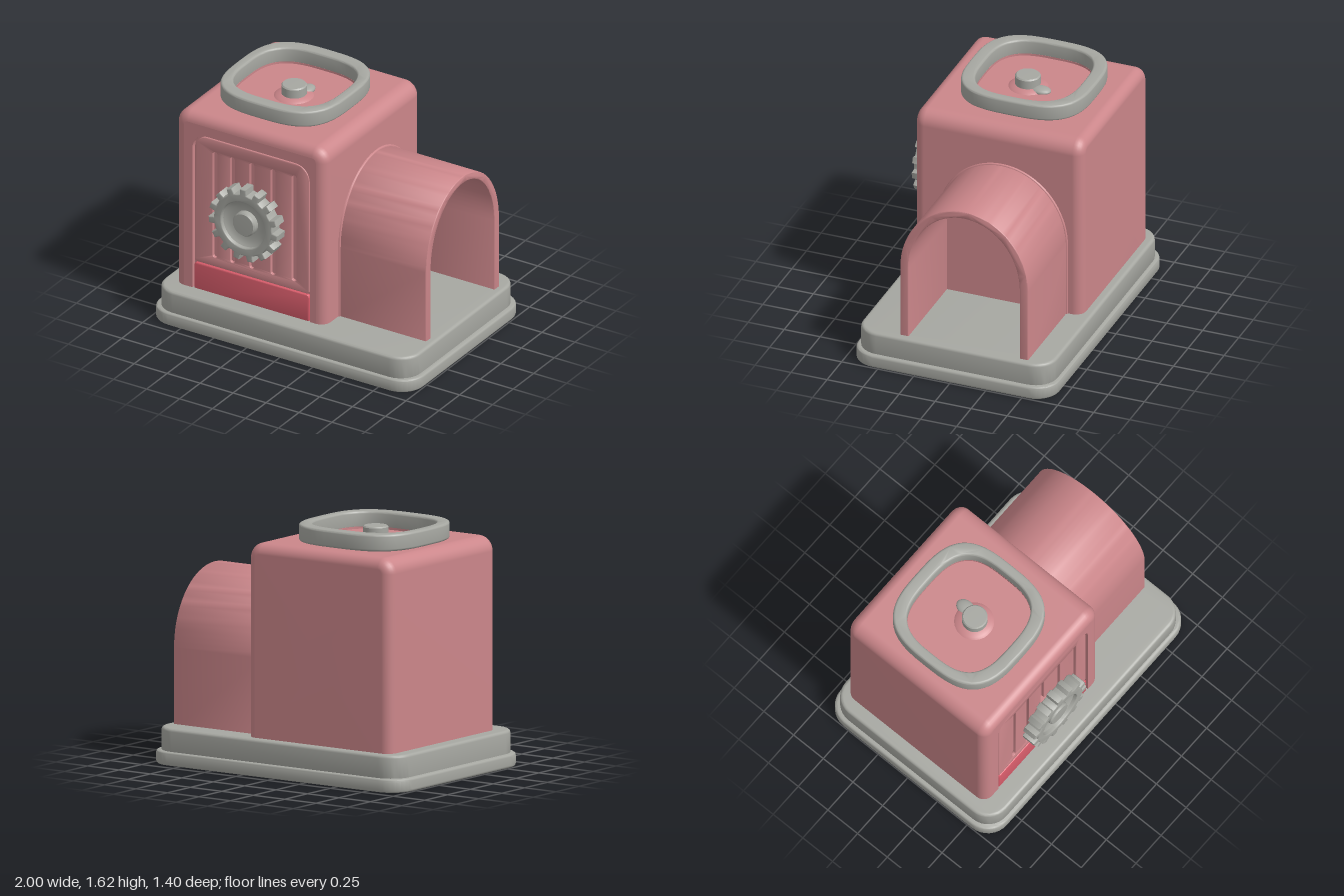
import * as THREE from 'three';
import { toCreasedNormals } from 'three/addons/utils/BufferGeometryUtils.js';

const V = (x, y) => new THREE.Vector2(x, y);

// Counter-clockwise rounded rectangle; top and bottom corners may differ
function rounded(x0, x1, y0, y1, rTop, rBottom = rTop, n = 8) {
  const pts = [];
  [[x1, y1, -1, -1, rTop], [x0, y1, 1, -1, rTop], [x0, y0, 1, 1, rBottom], [x1, y0, -1, 1, rBottom]]
    .forEach(([x, y, sx, sy, r], q) => {
      for (let i = 0; i <= n; i++) {
        const a = (q + i / n) * Math.PI / 2;
        pts.push(V(x + sx * r + r * Math.cos(a), y + sy * r + r * Math.sin(a)));
      }
    });
  return pts;
}

// Soft square outline
function squircle(cx, cy, rx, ry, power = 3.1, n = 72) {
  return Array.from({ length: n }, (_, i) => {
    const a = i / n * Math.PI * 2, c = Math.cos(a), s = Math.sin(a);
    return V(cx + rx * Math.sign(c) * Math.abs(c) ** (2 / power), cy + ry * Math.sign(s) * Math.abs(s) ** (2 / power));
  });
}

// Slab with eased edges, spanning z = 0..depth
function slab(outline, depth, bevel, holes = []) {
  const shape = new THREE.Shape(outline);
  shape.holes = holes.map(h => new THREE.Path(h));
  const g = new THREE.ExtrudeGeometry(shape, {
    depth: depth - 2 * bevel, bevelEnabled: bevel > 0, bevelThickness: bevel,
    bevelSize: bevel, bevelOffset: -bevel, bevelSegments: 4, curveSegments: 24,
  });
  g.translate(0, 0, bevel);
  return toCreasedNormals(g, 0.6);
}

// Skin through equal-length loops: [points, z]
function loft(rings) {
  const n = rings[0][0].length, pos = [], idx = [];
  rings.forEach(([pts, z]) => pts.forEach(p => pos.push(p.x, p.y, z)));
  for (let k = 0; k < rings.length - 1; k++) {
    for (let i = 0; i < n; i++) {
      const a = k * n + i, b = k * n + (i + 1) % n;
      idx.push(a, b, b + n, a, b + n, a + n);
    }
  }
  const g = new THREE.BufferGeometry();
  g.setAttribute('position', new THREE.Float32BufferAttribute(pos, 3));
  g.setIndex(idx);
  g.computeVertexNormals();
  return g;
}

export function createModel() {
  const model = new THREE.Group();
  const mat = (name, color) => {
    const m = new THREE.MeshStandardMaterial({ color });
    m.name = name;
    return m;
  };
  const pink = mat('dusty pink', 0xcb868a);
  const grey = mat('warm grey', 0xa6a7a1);
  const red = mat('rose red', 0xd65c6a);
  const add = (name, geometry, material, parent = model) => {
    const m = new THREE.Mesh(geometry, material);
    m.name = name;
    parent.add(m);
    return m;
  };

  // Two-step base
  const flat = (g, y) => g.rotateX(-Math.PI / 2).translate(0, y, 0);
  add('baseFoot', flat(slab(rounded(-1, 1, -0.7, 0.7, 0.16), 0.09, 0.018), 0), grey);
  add('basePlinth', flat(slab(rounded(-0.97, 0.97, -0.675, 0.675, 0.15), 0.17, 0.02), 0.07), grey);

  // Body shell with rounded edges and a recessed front
  const front = 0.55, back = -0.62, bevel = 0.07, steps = 7;
  const section = d => rounded(-0.88 + d, 0.26 - d, 0.1 + d, 1.51 - d, 0.1 - d);
  const rings = [[section(0).map(() => V(-0.31, 0.8)), back]];
  for (let i = 0; i <= steps; i++) {
    const a = i / steps * Math.PI / 2;
    rings.push([section(bevel * (1 - Math.sin(a))), back + bevel * (1 - Math.cos(a))]);
  }
  for (let i = steps; i >= 0; i--) {
    const a = i / steps * Math.PI / 2;
    rings.push([section(bevel * (1 - Math.sin(a))), front - bevel * (1 - Math.cos(a))]);
  }
  add('bodyShell', loft(rings), pink);
  const recess = rounded(-0.745, 0.145, 0.2, 1.37, 0.11, 0.01);
  const frame = new THREE.Shape(section(bevel));
  frame.holes.push(new THREE.Path(recess));
  add('frontFrame', new THREE.ShapeGeometry(frame).translate(0, 0, front), pink);
  add('recessWall', loft([[[...recess].reverse(), 0.518], [[...recess].reverse(), front]]), pink);
  add('recessFloor', new THREE.ShapeGeometry(new THREE.Shape(recess)).translate(0, 0, 0.518), pink);

  // Slotted panel and coloured strip
  const slots = [-0.58, -0.447, -0.3, -0.14, 0.02].map(x => rounded(x - 0.017, x + 0.017, 0.5, 1.27, 0.016));
  add('slottedPanel', slab(rounded(-0.733, 0.133, 0.435, 1.358, 0.1, 0.02), 0.024, 0.004, slots), pink)
    .position.z = 0.518;
  add('lowerStrip', slab(rounded(-0.735, 0.135, 0.2, 0.427, 0.02), 0.028, 0.006), red).position.z = 0.518;

  // Arched tunnel on the model's left
  const arch = (half, top, spring, bottom) => {
    const pts = [V(-half, bottom), V(half, bottom)];
    for (let i = 0; i <= 40; i++) {
      const a = i / 40 * Math.PI;
      pts.push(V(half * Math.cos(a), spring + (top - spring) * Math.sin(a)));
    }
    return pts;
  };
  const tunnel = (half, top, x0, x1, b) => {
    const inner = arch(0.385, 1.19, 0.74, 0.2).slice(2).reverse();
    const outer = arch(half, top, 0.74, 0.2).slice(2);
    const outline = [V(half, 0.2), ...outer, V(-half, 0.2), V(-0.385, 0.2), ...inner, V(0.385, 0.2)];
    return slab(outline, x1 - x0, b).rotateY(Math.PI / 2).translate(x0, 0, -0.067);
  };
  add('tunnel', tunnel(0.445, 1.24, 0.22, 0.92, 0.008), pink);
  add('tunnelFillet', tunnel(0.455, 1.25, 0.22, 0.272, 0.01), pink);

  // Front gear wheel on its shaft
  const gear = new THREE.Group();
  gear.name = 'gearWheel';
  gear.position.set(-0.283, 0.882, 0);
  model.add(gear);
  const teeth = 15, rim = [];
  for (let i = 0; i < teeth; i++) {
    [[-0.27, 0.222], [-0.2, 0.262], [0.2, 0.262], [0.27, 0.222], [0.5, 0.22]].forEach(([t, r]) => {
      const a = Math.PI / 2 + (i + t) / teeth * Math.PI * 2;
      rim.push(V(r * Math.cos(a), r * Math.sin(a)));
    });
  }
  const ringHole = Array.from({ length: 48 }, (_, i) => V(0.165 * Math.cos(i * Math.PI / 24), 0.165 * Math.sin(i * Math.PI / 24)));
  add('gearRim', slab(rim, 0.1, 0.008, [ringHole]), grey, gear).position.z = 0.58;
  const dish = [V(0, 0.582), V(0.175, 0.582), V(0.175, 0.66), V(0.155, 0.645), V(0.125, 0.632), V(0.085, 0.63),
    V(0.084, 0.665), V(0.076, 0.675), V(0, 0.677)];
  add('gearDishAndHub', toCreasedNormals(new THREE.LatheGeometry(dish, 48).rotateX(Math.PI / 2), 0.5), grey, gear);
  add('gearShaft', new THREE.CylinderGeometry(0.09, 0.09, 0.08, 32).rotateX(Math.PI / 2).translate(0, 0, 0.545), pink, gear);

  // Top rim, its neck and the small knob
  const cx = -0.337, cz = -0.045;
  const rimHole = squircle(cx, -cz, 0.362, 0.345);
  add('topRimNeck', flat(slab(squircle(cx, -cz, 0.395, 0.395), 0.03, 0, [rimHole]), 1.495), pink);
  add('topRim', flat(slab(squircle(cx, -cz, 0.43, 0.435), 0.112, 0.016, [rimHole]), 1.512), grey);
  const lathe = pts => toCreasedNormals(new THREE.LatheGeometry(pts, 40), 0.5);
  add('knobCollar', lathe([V(0.135, 1.505), V(0.115, 1.522), V(0.08, 1.53)]), pink).position.set(-0.325, 0, -0.01);
  add('knob', lathe([V(0.083, 1.5), V(0.083, 1.587), V(0.075, 1.595), V(0, 1.596)]), grey).position.set(-0.322, 0, -0.008);
  const lug = add('knobLug', new THREE.SphereGeometry(0.05, 20, 12), grey);
  lug.scale.set(1, 0.5, 1.4);
  lug.position.set(-0.29, 1.515, -0.11);

  return model;
}
